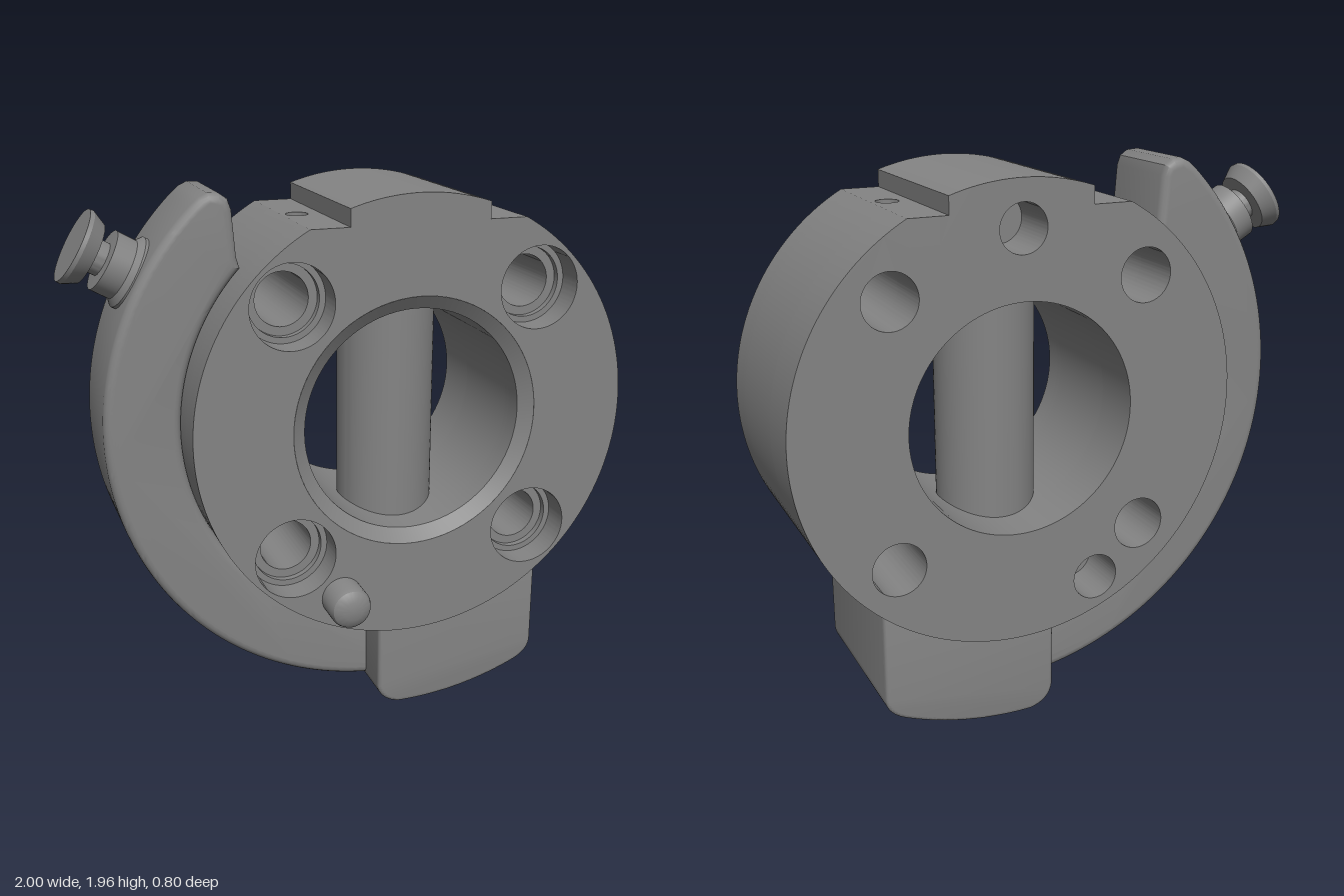
import * as THREE from 'three';
import { toCreasedNormals } from 'three/addons/utils/BufferGeometryUtils.js';

const CX = 0.184, CY = 1.14, R = 0.812;    // ring centre and radius
const MID = -0.06;                         // z of the mid plane
const FLAT = 1.85, KEY = [-0.07, 0.44];    // flats beside the top key
const TAPS = [-0.155, 0.52];               // small threaded holes in the flats
const BOLT = 0.457;                        // bolt hole offset from the centre
const NOTCH = 1.76;                        // floor of the threaded holes
const BACK = -0.4, FRONT = 0.27;

const material = new THREE.MeshStandardMaterial({ color: 0x848484 });

function add(parent, name, geometry) {
  const mesh = new THREE.Mesh(toCreasedNormals(geometry, 0.5), material);
  mesh.name = name;
  parent.add(mesh);
  return mesh;
}

// Extrude a shape between two z values, with an optional rounded edge inside the outline
function slab(shape, z0, z1, bevel = 0) {
  return new THREE.ExtrudeGeometry(shape, {
    depth: z1 - z0 - 2 * bevel, curveSegments: 72, bevelEnabled: bevel > 0,
    bevelSize: bevel, bevelThickness: bevel, bevelOffset: -bevel, bevelSegments: 4,
  }).translate(0, 0, z0 + bevel);
}

// Turned profile of [radius, height] points
const turned = (profile, segments = 48) =>
  new THREE.LatheGeometry(profile.map(([r, h]) => new THREE.Vector2(r, h)), segments);

const hole = (x, y, r) => new THREE.Path().absarc(x, y, r, 0, Math.PI * 2, false);
const bolts = [[-1, -1], [1, -1], [-1, 1], [1, 1]].map(([i, j]) => [CX + i * BOLT, CY + j * BOLT]);

// Ring outline with the raised key, the flats and the slots that hold the threaded plugs
function ringOutline() {
  const a = Math.asin((FLAT - CY) / R);
  const s = new THREE.Shape();
  s.absarc(CX, CY, R, a, Math.PI - a, true);
  const slot = (x) => {
    s.lineTo(x - 0.05, FLAT);
    s.lineTo(x - 0.05, NOTCH);
    s.lineTo(x + 0.05, NOTCH);
    s.lineTo(x + 0.05, FLAT);
  };
  slot(TAPS[0]);
  s.lineTo(KEY[0], FLAT);
  s.absarc(CX, CY, R, Math.acos((KEY[0] - CX) / R), Math.acos((KEY[1] - CX) / R), true);
  s.lineTo(KEY[1], FLAT);
  slot(TAPS[1]);
  return s;
}

function buildRing() {
  const ring = new THREE.Group();
  ring.name = 'ringBody';
  // Layers: z range, bore radius, bolt hole radius, blind holes on the back
  const layers = [
    [0.235, FRONT, 0.46, 0.15, []],
    [0.165, 0.235, 0.41, 0.15, []],
    [0.14, 0.165, 0.41, 0.128, []],
    [-0.2, 0.14, 0.41, 0.096, []],
    [BACK, -0.2, 0.41, 0.096, [[CX, 1.79, 0.085], [-0.1, 0.505, 0.085]]],
  ];
  for (const [z0, z1, bore, bolt, blind] of layers) {
    const s = ringOutline();
    s.holes.push(hole(CX, CY, bore));
    for (const [x, y] of bolts) s.holes.push(hole(x, y, bolt));
    for (const b of blind) s.holes.push(hole(...b));
    add(ring, 'ringLayer', slab(s, z0, z1));
  }
  // Chamfer of the bore, its profile running downwards so that it faces the axis
  add(ring, 'boreChamfer',
    turned([[0.46, FRONT], [0.41, 0.235]], 72).rotateX(Math.PI / 2).translate(CX, CY, 0));
  // Plugs carrying the threaded holes
  for (const x of TAPS) {
    const s = new THREE.Shape();
    s.moveTo(-0.05, -FRONT);
    s.lineTo(0.05, -FRONT);
    s.lineTo(0.05, -BACK);
    s.lineTo(-0.05, -BACK);
    s.holes.push(hole(0, 0.052, 0.04));
    add(ring, 'threadedHole', slab(s, 0, FLAT - NOTCH).rotateX(-Math.PI / 2).translate(x, NOTCH, 0));
  }
  return ring;
}

export function createModel() {
  const model = new THREE.Group();
  model.name = 'lockingRing';
  model.add(buildRing());

  // Vertical post crossing the bore
  add(model, 'post', new THREE.CylinderGeometry(0.18, 0.18, 0.98, 64).translate(CX, CY, MID));

  // Locating pin with a domed end on the front
  add(model, 'locatingPin', turned(
    [[0.077, 0.2], [0.077, 0.36], [0.07, 0.378], [0.058, 0.388], [0.035, 0.396], [0, 0.4]],
  ).rotateX(Math.PI / 2).translate(-0.1, 0.505, 0));

  // Curved lever hugging the ring
  const lever = new THREE.Shape();
  const outerR = 1.08;
  const tip = Math.atan2(1.92 - CY, -0.56 - CX);
  const inner = Math.atan2(1.71 - CY, -0.41 - CX);
  lever.absarc(CX, CY, outerR, tip, Math.PI * 1.5, false);
  lever.absarc(CX, CY, R, Math.PI * 1.5, inner, true);
  lever.lineTo(-0.413, 1.74);
  lever.lineTo(-0.425, 1.9);
  // Straight facets keep the rounded tip wide enough for the bevel
  for (const [x, y] of [[-0.437, 1.935], [-0.465, 1.955], [-0.505, 1.958], [-0.535, 1.944]]) lever.lineTo(x, y);
  lever.lineTo(CX + outerR * Math.cos(tip), CY + outerR * Math.sin(tip));
  add(model, 'lever', slab(lever, -0.25, 0.11, 0.03));

  // Block under the ring that carries the lever
  const block = new THREE.Shape();
  block.moveTo(0.055, 0.4);
  block.lineTo(0.055, 0.085);
  block.quadraticCurveTo(0.065, 0.02, 0.14, 0.003);
  block.absarc(CX, CY, 1.138, -Math.PI / 2 - 0.03, -Math.PI / 2 + 0.39, false);
  block.quadraticCurveTo(0.698, 0.12, 0.698, 0.18);
  block.lineTo(0.698, 0.53);
  add(model, 'pivotBlock', slab(block, -0.375, 0.245, 0.015));

  // Plunger knob, turned along a radius of the ring
  const knob = add(model, 'plungerKnob', turned([
    [0.132, 1.0], [0.132, 1.085], [0.11, 1.105], [0.11, 1.178], [0.06, 1.18], [0.06, 1.222],
    [0.11, 1.225], [0.135, 1.275], [0.133, 1.29], [0, 1.29],
  ]));
  knob.position.set(CX, CY, -0.073);
  knob.rotation.z = Math.PI / 3;

  return model;
}
